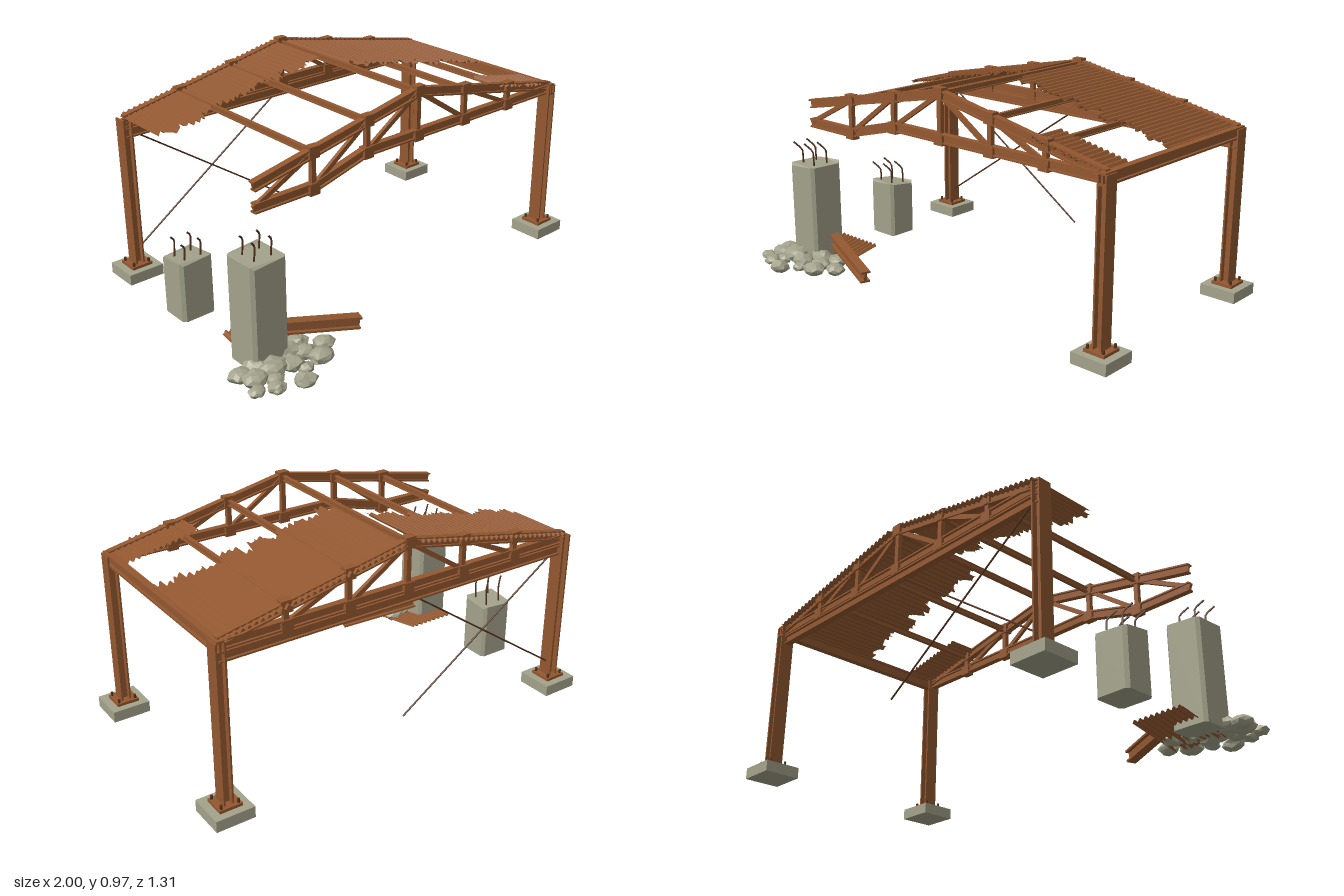
import * as THREE from 'three';

const V = (x, y, z) => new THREE.Vector3(x, y, z);
const UP = V(0, 1, 0);

export function createModel() {
  const model = new THREE.Group();
  model.name = 'ruinedShed';

  const mat = (name, color, side = THREE.FrontSide) =>
    Object.assign(new THREE.MeshStandardMaterial({ color, side }), { name });
  const rust = mat('rust', 0x935830);
  const sheetRust = mat('sheet rust', 0x935830, THREE.DoubleSide);
  const darkRust = mat('dark rust', 0x57331d);
  const concrete = mat('concrete', 0xa3a28b);

  let seed = 7;
  const rand = () => ((seed = (seed * 16807) % 2147483647) / 2147483647);

  const add = (name, geo, material, parent = model) => {
    const m = new THREE.Mesh(geo, material);
    m.name = name;
    parent.add(m);
    return m;
  };
  const box = (name, w, h, d, x, y, z, material, parent) =>
    add(name, new THREE.BoxGeometry(w, h, d).translate(x, y, z), material, parent);
  const group = (name) => {
    const g = new THREE.Group();
    g.name = name;
    model.add(g);
    return g;
  };

  // Place a shape drawn in XY and extruded along +z between two points
  const orient = (geo, a, b, up) => {
    const dir = b.clone().sub(a).normalize();
    const side = up.clone().cross(dir).normalize();
    const m = new THREE.Matrix4().makeBasis(side, dir.clone().cross(side), dir);
    return geo.applyMatrix4(m.setPosition(a));
  };
  const iBeam = (name, a, b, h, w, parent, up = UP) => {
    const t = h * 0.17, e = w * 0.14, H = h / 2, W = w / 2;
    const quarter = [[W, -H], [W, -H + t], [e, -H + t], [e, H - t], [W, H - t], [W, H]];
    const pts = [...quarter, ...quarter.map(([x, y]) => [-x, -y])];
    const shape = new THREE.Shape(pts.map(([x, y]) => new THREE.Vector2(x, y)));
    const geo = new THREE.ExtrudeGeometry(shape, { depth: a.distanceTo(b), bevelEnabled: false });
    return add(name, orient(geo, a, b, up), rust, parent);
  };
  const bar = (name, a, b, h, w, parent, up = UP) => {
    const len = a.distanceTo(b);
    const geo = new THREE.BoxGeometry(w, h, len).translate(0, 0, len / 2);
    return add(name, orient(geo, a, b, up), rust, parent);
  };
  const rod = (name, points, r, parent) => {
    const path = new THREE.CurvePath();
    for (let i = 1; i < points.length; i++) path.add(new THREE.LineCurve3(points[i - 1], points[i]));
    return add(name, new THREE.TubeGeometry(path, 8, r, 6), darkRust, parent);
  };

  const LEFT = -0.81, RIGHT = 0.91, RIDGE = 0.05, FRONT = 0.352, BACK = -0.572;
  const roof = (x) => 0.967 - 0.2 * Math.abs(x - RIDGE);
  const nodes = [-0.52, -0.235, RIDGE, 0.335, 0.62];

  // Steel columns on concrete footings
  for (const [x, z] of [[RIGHT, FRONT], [RIGHT, BACK], [LEFT, BACK]]) {
    const g = group('column');
    box('footing', 0.17, 0.05, 0.166, x, 0.045, z, concrete, g);
    box('basePlate', 0.1, 0.014, 0.1, x, 0.076, z, rust, g);
    iBeam('post', V(x, 0.08, z), V(x, 0.78, z), 0.044, 0.064, g, V(1, 0, 0));
    for (const i of [-1, 1]) for (const j of [-1, 1]) {
      add('bolt', new THREE.CylinderGeometry(0.006, 0.006, 0.02, 6)
        .translate(x + i * 0.038, 0.09, z + j * 0.038), darkRust, g);
    }
  }

  // Roof trusses; the front one has a sagging lower chord
  const truss = (name, z, bottom) => {
    const g = group(name);
    const top = (x) => roof(x) - 0.02;
    iBeam('topChord', V(LEFT, top(LEFT), z), V(RIDGE, top(RIDGE), z), 0.042, 0.03, g);
    iBeam('topChord', V(RIDGE, top(RIDGE), z), V(RIGHT, top(RIGHT), z), 0.042, 0.03, g);
    const xs = [LEFT, ...nodes, RIGHT];
    for (let i = 1; i < xs.length; i++) {
      const [p, q] = [xs[i - 1], xs[i]];
      if (bottom(p) !== bottom(q) || i === 1 || bottom(xs[i - 2]) !== bottom(p)) {
        let end = i;
        while (end + 1 < xs.length && bottom(q) === bottom(p) && bottom(xs[end + 1]) === bottom(q)) end++;
        iBeam('bottomChord', V(p, bottom(p), z), V(xs[end], bottom(q), z), 0.042, 0.03, g);
      }
      const [outer, inner] = i <= 3 ? [p, q] : [q, p];
      if (i < 6) bar('diagonal', V(outer, bottom(outer), z), V(inner, top(inner), z), 0.02, 0.016, g);
    }
    for (const x of nodes) {
      bar('vertical', V(x, bottom(x), z), V(x, top(x), z), 0.022, 0.02, g, V(1, 0, 0));
      box('gusset', 0.05, 0.05, 0.036, x, top(x) + 0.003, z, rust, g);
      box('gusset', 0.05, 0.05, 0.036, x, bottom(x) - 0.005, z, rust, g);
    }
  };
  truss('frontTruss', FRONT, (x) => (x < -0.4 ? 0.685 : 0.76));
  truss('backTruss', BACK, () => 0.76);

  // Longitudinal beams and purlins
  iBeam('backTieBeam', V(LEFT, 0.712, BACK), V(RIGHT, 0.712, BACK), 0.044, 0.032);
  iBeam('eaveBeam', V(RIGHT, 0.761, BACK - 0.03), V(RIGHT, 0.761, FRONT + 0.03), 0.052, 0.032);
  for (const x of nodes) {
    iBeam('purlin', V(x, roof(x) - 0.021, BACK), V(x, roof(x) - 0.021, FRONT), 0.026, 0.018);
  }

  // Corrugated sheeting with one torn end
  const sheet = (name, x0, x1, height, zStraight, zTorn, tear) => {
    const pos = [], index = [], pitch = 0.007;
    const profile = [0, 0, 1, 1];
    const n = Math.round((x1 - x0) / pitch);
    let step = 0;
    for (let i = 0; i <= n; i++) {
      if (i % 6 === 0) step = rand();
      const x = x0 + ((x1 - x0) * i) / n;
      const dy = (profile[i % 4] - 0.5) * 0.012;
      const zEnd = zTorn + (step * 0.75 + rand() * 0.25 - 0.5) * tear;
      pos.push(x, height(x, zStraight) + dy, zStraight, x, height(x, zEnd) + dy, zEnd);
      const k = i * 2;
      if (i < n) index.push(k, k + 1, k + 3, k, k + 3, k + 2);
    }
    let geo = new THREE.BufferGeometry();
    geo.setAttribute('position', new THREE.Float32BufferAttribute(pos, 3));
    geo.setIndex(index);
    geo = geo.toNonIndexed();
    geo.computeVertexNormals();
    return add(name, geo, sheetRust);
  };
  const onRoof = (x) => roof(x) - 0.008;
  sheet('leftRoofSheet', -0.81, 0.02, onRoof, -0.605, -0.265, 0.08);
  sheet('rightRoofSheet', 0.075, 0.905, onRoof, -0.605, -0.09, 0.09);
  sheet('frontRoofPatch', 0.555, 0.9, onRoof, 0.2, 0.375, 0.04);
  sheet('fallenSheet', -0.855, -0.6, (x, z) => 0.068 - (z - 0.165) * 0.19, 0.165, 0.43, 0.07);

  // Loose cross bracing behind the left bay
  rod('brace', [V(LEFT, 0.135, BACK), V(RIDGE, 0.73, BACK)], 0.004);
  rod('brace', [V(LEFT, 0.735, BACK), V(RIDGE, 0.15, BACK)], 0.004);

  // Broken concrete piers with bent reinforcing rods
  const pier = (x, z, w, d, top, tiltX, tiltZ) => {
    const g = group('brokenPier');
    const W = w / 2, D = d / 2, c = 0.014;
    const pts = [[W - c, -D], [W, -D + c], [W, D - c], [W - c, D], [-W + c, D], [-W, D - c], [-W, -D + c], [-W + c, -D]];
    const shape = new THREE.Shape(pts.map(([a, b]) => new THREE.Vector2(a, b)));
    let geo = new THREE.ExtrudeGeometry(shape, { depth: top - 0.02, bevelEnabled: false });
    geo.rotateX(-Math.PI / 2);
    const p = geo.attributes.position;
    for (let i = 0; i < p.count; i++) {
      if (p.getY(i) < 0.1) continue;
      const px = p.getX(i), pz = p.getZ(i);
      p.setY(i, p.getY(i) + px * tiltX + pz * tiltZ + 0.008 * Math.sin(px * 90 + pz * 50));
    }
    geo.computeVertexNormals();
    add('shaft', geo.translate(x, 0.02, z), concrete, g);
    for (const i of [-1, 1]) for (const j of [-1, 1]) {
      const rx = x + i * 0.04, rz = z + j * 0.038, h = top + 0.065 + rand() * 0.015;
      rod('rebar', [V(rx, top - 0.04, rz), V(rx + 0.004, h, rz + 0.006),
        V(rx - 0.03, h + 0.035, rz + 0.03)], 0.004, g);
    }
  };
  pier(-0.805, 0.352, 0.17, 0.172, 0.487, 0.08, 0.04);
  pier(-0.81, -0.138, 0.16, 0.15, 0.287, 0.05, 0.12);

  // Fallen beam and rubble
  iBeam('fallenBeam', V(-0.74, 0.117, 0.32), V(-0.355, 0.05, 0.445), 0.056, 0.045);
  const rubble = group('rubble');
  const rocks = [
    [-0.95, 0.42, 0.05], [-0.92, 0.48, 0.055], [-0.83, 0.47, 0.065], [-0.96, 0.54, 0.036],
    [-0.89, 0.57, 0.04], [-0.78, 0.61, 0.05], [-0.63, 0.525, 0.055], [-0.56, 0.455, 0.048],
    [-0.72, 0.41, 0.06], [-0.66, 0.46, 0.05], [-0.75, 0.49, 0.055], [-0.64, 0.38, 0.05],
    [-0.87, 0.42, 0.06], [-0.86, 0.52, 0.04], [-0.72, 0.54, 0.035]];
  for (const [x, z, r] of rocks) {
    const geo = new THREE.IcosahedronGeometry(r, 1);
    const p = geo.attributes.position, v = V(), k = rand() * 6;
    for (let i = 0; i < p.count; i++) {
      v.fromBufferAttribute(p, i);
      const n = v.clone().divideScalar(r);
      v.multiplyScalar(0.95 + 0.17 * Math.sin(n.x * 4 + k) * Math.cos(n.z * 5 - k + n.y * 3));
      p.setXYZ(i, v.x, v.y, v.z);
    }
    geo.rotateY(k).scale(1.05, 0.6, 0.9).computeVertexNormals();
    add('rock', geo.translate(x, 0.012 + r * 0.55, z), concrete, rubble);
  }
  return model;
}
